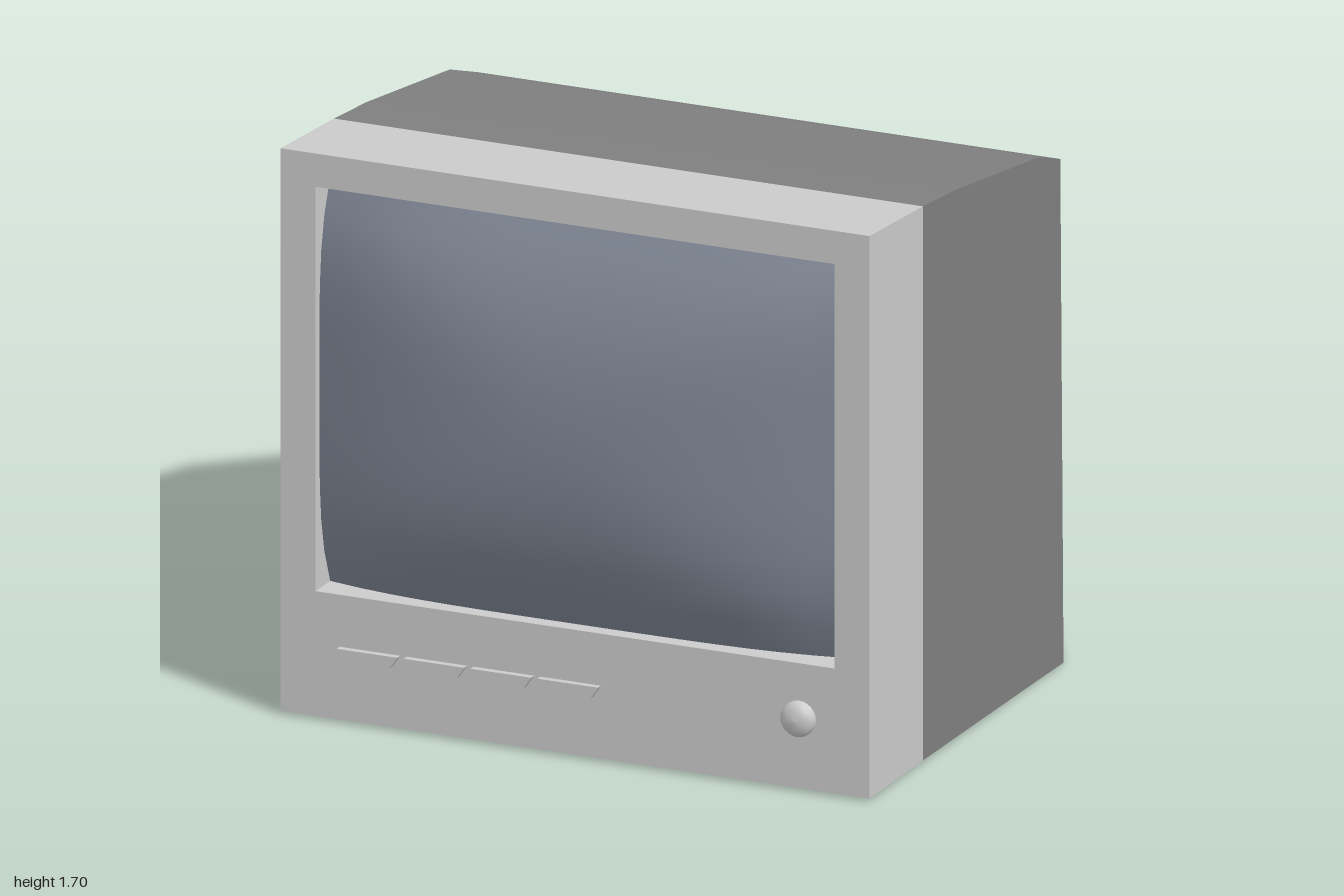
import * as THREE from 'three';

const plastic = new THREE.MeshStandardMaterial({ color: 0xcccccc, flatShading: true });
const smoothPlastic = new THREE.MeshStandardMaterial({ color: 0xcccccc });
const casing = new THREE.MeshStandardMaterial({ color: 0x808080, flatShading: true });
const glass = new THREE.MeshStandardMaterial({ color: 0x808896, side: THREE.DoubleSide });

function add(group, name, geometry, material) {
  const mesh = new THREE.Mesh(geometry, material);
  mesh.name = name;
  group.add(mesh);
  return mesh;
}

// Shell through four-cornered cross-sections, listed from front to back
function loft(sections) {
  const rings = sections.map(([z, bottomHalf, topHalf, y0, y1]) => [
    [-bottomHalf, y0, z], [bottomHalf, y0, z], [topHalf, y1, z], [-topHalf, y1, z],
  ]);
  const pos = [];
  const quad = (a, b, c, d) => pos.push(...a, ...b, ...c, ...a, ...c, ...d);
  for (let j = 0; j < rings.length - 1; j++) {
    for (let i = 0; i < 4; i++) {
      const k = (i + 1) % 4;
      quad(rings[j][i], rings[j + 1][i], rings[j + 1][k], rings[j][k]);
    }
  }
  quad(...rings[0]);
  quad(...rings[rings.length - 1].slice().reverse());
  const geo = new THREE.BufferGeometry();
  geo.setAttribute('position', new THREE.Float32BufferAttribute(pos, 3));
  geo.computeVertexNormals();
  return geo;
}

function polygon(Type, points) {
  return new Type(points.map(([x, y]) => new THREE.Vector2(x, y)));
}

export function createModel() {
  const tv = new THREE.Group();
  tv.name = 'television';

  // Dark rear casing: z, half width at bottom and top, bottom y, top y
  add(tv, 'rearCasing', loft([
    [0.52, 0.92, 0.92, 0.01, 1.675],
    [0.3, 0.92, 0.92, 0.009, 1.655],
    [-0.27, 0.92, 0.92, 0.005, 1.575],
    [-0.44, 0.92, 0.91, 0.003, 1.515],
    [-0.75, 0.75, 0.75, 0, 1.365],
    [-1, 0.41, 0.41, 0.3, 1.12],
  ]), casing);

  // Front frame with the screen opening; its top slopes down to the casing
  const frame = polygon(THREE.Shape, [[-0.92, 0.01], [0.92, 0.01], [0.92, 1.7], [-0.92, 1.7]]);
  frame.holes.push(polygon(THREE.Path, [[-0.81, 0.385], [-0.81, 1.6], [0.81, 1.6], [0.81, 0.385]]));
  const frameGeo = new THREE.ExtrudeGeometry(frame, { depth: 0.365, bevelEnabled: false });
  const fp = frameGeo.attributes.position;
  for (let i = 0; i < fp.count; i++) {
    if (fp.getY(i) > 1.69 && fp.getZ(i) < 0.1) fp.setY(i, 1.675);
  }
  frameGeo.translate(0, 0, 0.52);
  frameGeo.computeVertexNormals();
  add(tv, 'frontFrame', frameGeo, plastic);

  // Bulging screen, deepest in the corners
  const screenGeo = new THREE.PlaneGeometry(1.62, 1.215, 16, 12);
  const sp = screenGeo.attributes.position;
  for (let i = 0; i < sp.count; i++) {
    const x = sp.getX(i), y = sp.getY(i);
    const dropX = 0.2 * x * x + 0.02 * x ** 4;
    const dropY = 0.33 * y * y + 0.3 * y ** 4;
    sp.setZ(i, 1 - Math.hypot(dropX, dropY));
  }
  screenGeo.translate(0, 0.9925, 0);
  screenGeo.computeVertexNormals();
  add(tv, 'screen', screenGeo, glass);

  // Row of slanted buttons
  const buttonGeo = new THREE.ExtrudeGeometry(
    polygon(THREE.Shape, [[0, 0], [0.19, 0], [0.215, 0.036], [0.025, 0.036]]),
    { depth: 0.025, bevelEnabled: false });
  for (let i = 0; i < 4; i++) {
    add(tv, 'button' + (i + 1), buttonGeo, plastic).position.set(-0.76 + i * 0.209, 0.193, 0.88);
  }

  // Rounded power knob
  const knobProfile = [[0.053, 0], [0.053, 0.018], [0.045, 0.03], [0.025, 0.039], [0, 0.042]];
  const knobGeo = new THREE.LatheGeometry(knobProfile.map(([r, y]) => new THREE.Vector2(r, y)), 24);
  knobGeo.rotateX(Math.PI / 2);
  add(tv, 'powerKnob', knobGeo, smoothPlastic).position.set(0.7, 0.22, 0.88);

  return tv;
}
